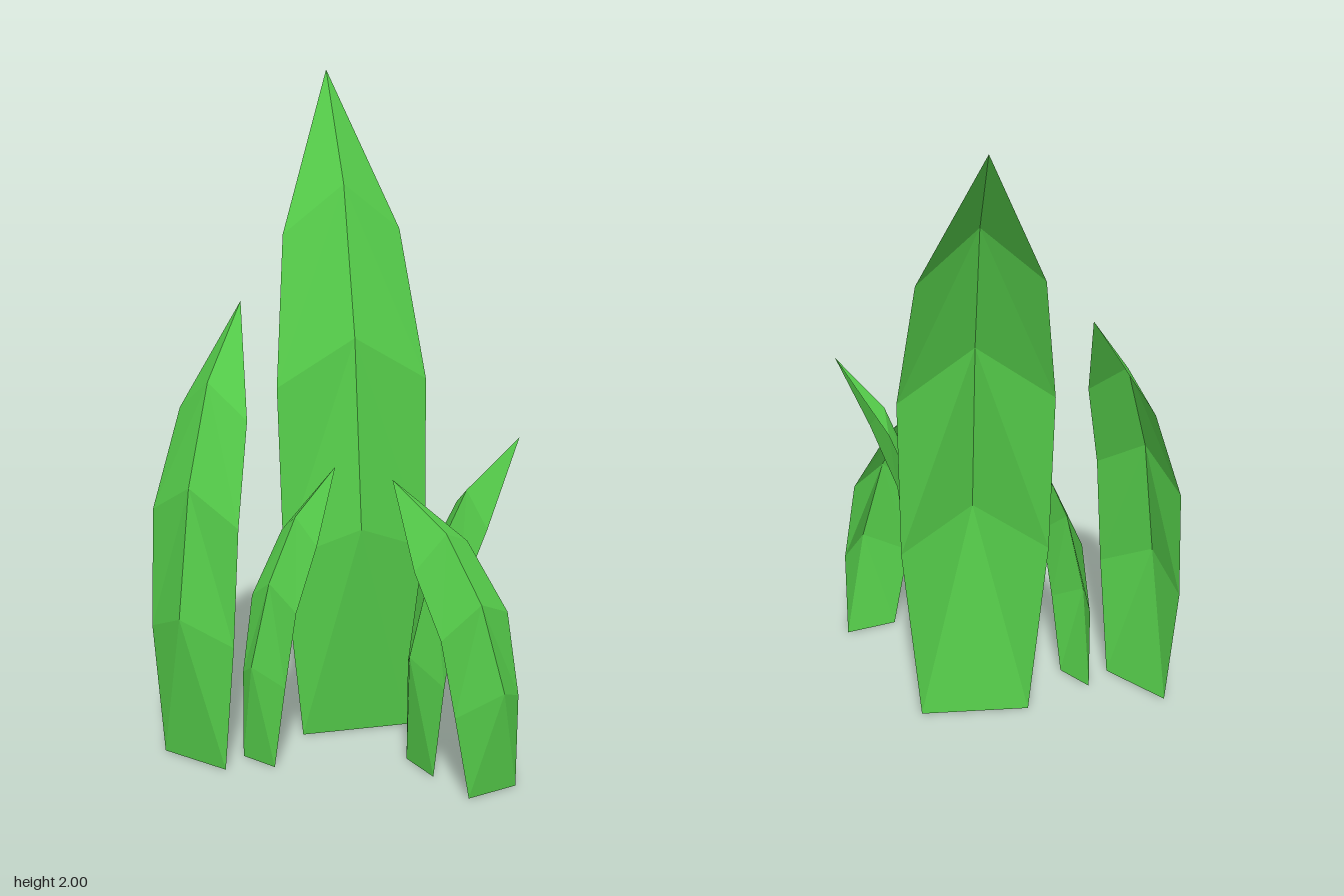
import * as THREE from 'three';

// Shared leaf template at four stations from base to shoulder:
// height and bend are fractions of a blade's own, width is relative to its base.
const edge = { height: [0, 0.295, 0.56, 0.775], bend: [0, 0.01, 0.11, 0.47] };
const rib = { height: [0, 0.35, 0.635, 0.85], bend: [0, -0.215, 0.01, 0.385] };
const width = [1, 1.33, 1.37, 1.07];

// base: middle of the foot (x, z); bend: how far the leaf curls over (x, z);
// half: foot middle to right edge (x, z); roll: extra rise of the right edge
const blades = [
  { name: 'tallBlade', base: [-0.06, -0.085], tip: [-0.31, 2, -0.38], bend: [-0.25, -0.295], half: [0.127, -0.107], roll: 0 },
  { name: 'broadSideBlade', base: [-0.397, 0.32], tip: [-0.365, 1.38, 0.055], bend: [0.032, -0.265], half: [0.114, 0.012], roll: 0 },
  { name: 'smallFrontBlade', base: [-0.22, 0.24], tip: [-0.035, 0.93, 0.09], bend: [0.12, -0.15], half: [0.06, 0.01], roll: -0.015 },
  { name: 'smallBackBlade', base: [0.23, 0.053], tip: [0.485, 1.06, -0.045], bend: [0.2, -0.113], half: [0.061, 0.034], roll: -0.025 },
  { name: 'smallSideBlade', base: [0.485, 0.093], tip: [0.2, 0.96, 0.19], bend: [-0.25, 0.02], half: [0.045, -0.068], roll: 0.04 },
];

function bladeGeometry({ base, tip, bend, half, roll }) {
  // Lines along the leaf: side is -1 for left edge, 0 for midrib, 1 for right edge
  const line = (profile, side) => width.map((w, i) => {
    const t = profile.height[i];
    const place = (axis, tipValue) => base[axis] + t * (tipValue - base[axis] - bend[axis])
      + profile.bend[i] * bend[axis] + side * w * half[axis];
    return [place(0, tip[0]), t * (tip[1] + side * roll), place(1, tip[2])];
  });
  const left = line(edge, -1);
  const middle = line(rib, 0);
  const right = line(edge, 1);

  const positions = [];
  const triangle = (a, b, c) => positions.push(...a, ...b, ...c);
  const last = width.length - 1;
  // Two mirrored strips of quads, folded along the midrib
  for (let i = 0; i < last; i++) {
    triangle(left[i], middle[i], middle[i + 1]);
    triangle(left[i], middle[i + 1], left[i + 1]);
    triangle(right[i], middle[i + 1], middle[i]);
    triangle(right[i], right[i + 1], middle[i + 1]);
  }
  // Pointed end
  triangle(left[last], middle[last], tip);
  triangle(middle[last], right[last], tip);

  const geometry = new THREE.BufferGeometry();
  geometry.setAttribute('position', new THREE.Float32BufferAttribute(positions, 3));
  geometry.computeVertexNormals();
  return geometry;
}

export function createModel() {
  const group = new THREE.Group();
  group.name = 'grassTuft';
  const green = new THREE.MeshStandardMaterial({
    color: 0x55cc4a, flatShading: true, side: THREE.DoubleSide,
  });
  for (const blade of blades) {
    const mesh = new THREE.Mesh(bladeGeometry(blade), green);
    mesh.name = blade.name;
    group.add(mesh);
  }
  return group;
}
